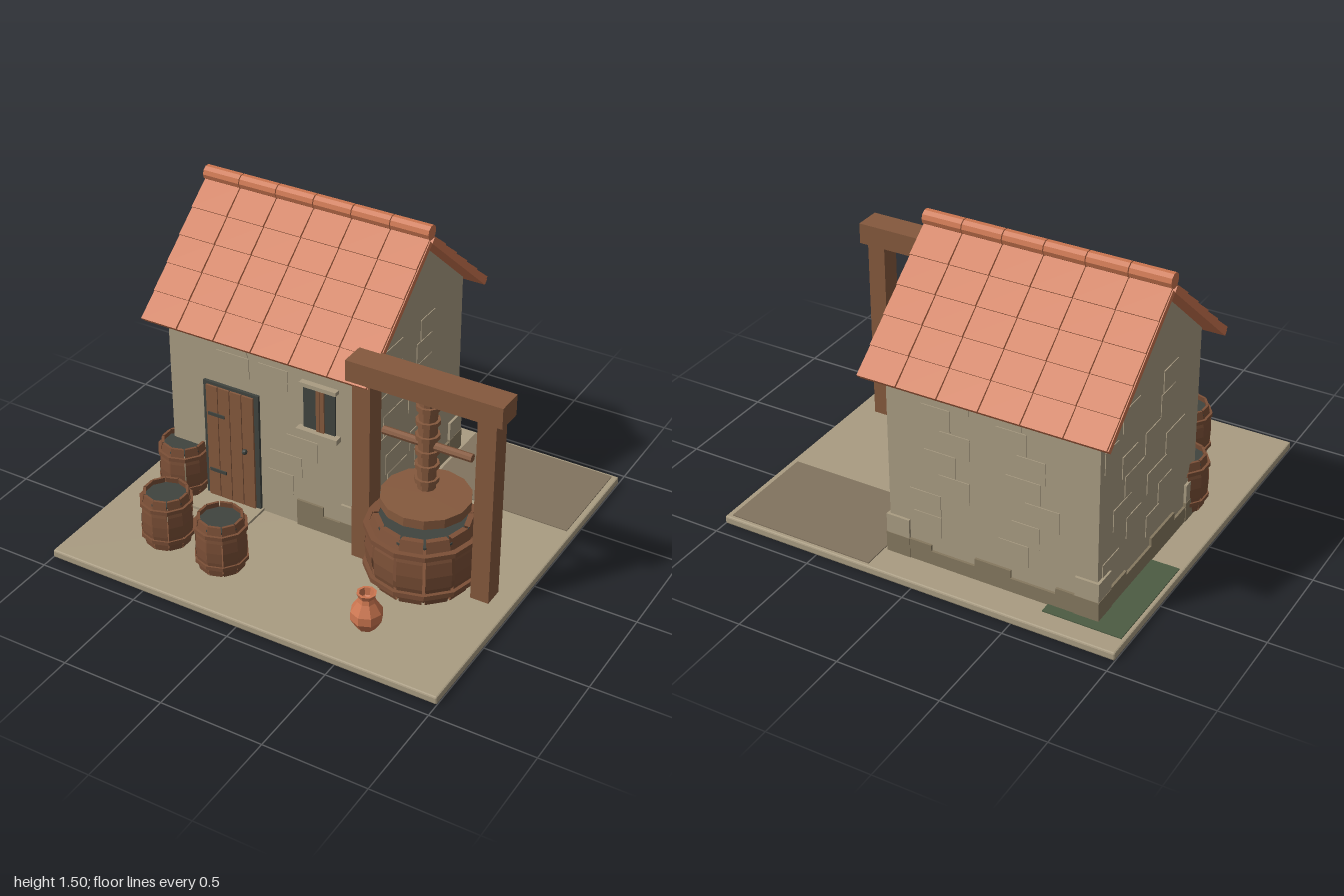
import * as THREE from 'three';
import { RoundedBoxGeometry } from 'three/addons/geometries/RoundedBoxGeometry.js';

const mat = (name, color, side = THREE.FrontSide) => {
  const m = new THREE.MeshStandardMaterial({ color, side });
  m.name = name;
  return m;
};

export function createModel() {
  const stone = mat('pale stone', 0xa99c82);
  const darkStone = mat('dark stone', 0x85785f);
  const earth = mat('bare earth', 0x82745f);
  const grass = mat('grass', 0x4d5c43);
  const tile = mat('terracotta', 0xcc7650, THREE.DoubleSide);
  const wood = mat('wood', 0x85593d, THREE.DoubleSide);
  const barrelWood = mat('barrel wood', 0x7c5037, THREE.DoubleSide);
  const dark = mat('dark iron', 0x40443f);

  const model = new THREE.Group();
  model.name = 'pressHouse';

  const group = (parent, name, x = 0, y = 0, z = 0, ry = 0) => {
    const g = new THREE.Group();
    g.name = name;
    g.position.set(x, y, z);
    g.rotation.y = ry;
    parent.add(g);
    return g;
  };
  // Faceted mesh
  const add = (parent, name, geo, material, x = 0, y = 0, z = 0) => {
    const g = geo.index ? geo.toNonIndexed() : geo;
    g.computeVertexNormals();
    const m = new THREE.Mesh(g, material);
    m.name = name;
    m.position.set(x, y, z);
    parent.add(m);
    return m;
  };
  // Box given by its limits on each axis
  const box = (parent, name, material, x0, x1, y0, y1, z0, z1) =>
    add(parent, name, new THREE.BoxGeometry(x1 - x0, y1 - y0, z1 - z0), material,
      (x0 + x1) / 2, (y0 + y1) / 2, (z0 + z1) / 2);
  const lathe = (pts, seg, start = 0, len = Math.PI * 2) =>
    new THREE.LatheGeometry(pts.map(p => new THREE.Vector2(p[0], p[1])), seg, start, len);

  let seed = 7;
  const rand = () => (seed = (seed * 16807) % 2147483647) / 2147483647;

  // Ground
  add(model, 'ground', new RoundedBoxGeometry(2, 0.04, 1.86, 1, 0.008), stone, 0, 0.02, 0);
  box(model, 'earthPatch', earth, 0.23, 0.97, 0.038, 0.045, -0.91, -0.4);
  box(model, 'grassPatch', grass, -0.98, -0.6, 0.038, 0.045, -0.83, -0.27);
  box(model, 'doorStep', stone, -0.66, -0.33, 0.035, 0.053, 0.17, 0.33);

  // House body with gables
  const zc = -0.295, G = 0.04;
  const outline = new THREE.Shape([[-0.47, G], [0.47, G], [0.47, 1], [0, 1.412], [-0.47, 1]]
    .map(p => new THREE.Vector2(p[0], p[1])));
  const body = add(model, 'walls',
    new THREE.ExtrudeGeometry(outline, { depth: 1.03, bevelEnabled: false }), stone, -0.83, 0, zc);
  body.rotation.y = Math.PI / 2;

  // Wall faces: raised stones and dark plinth stones [from, to, height]
  const walls = [
    ['frontWall', -0.315, 0.175, 0, 1.03, [[0.175, 0.315, 0.14], [0.315, 0.515, 0.09]]],
    ['rightWall', 0.2, zc, Math.PI / 2, 0.94, [[-0.145, 0.15, 0.09], [0.15, 0.47, 0.09]]],
    ['backWall', -0.315, -0.765, Math.PI, 1.03,
      [[-0.515, -0.3, 0.1], [-0.3, -0.08, 0.07], [-0.08, 0.1, 0.11], [0.1, 0.32, 0.07], [0.32, 0.515, 0.1]]],
    ['leftWall', -0.83, zc, -Math.PI / 2, 0.94,
      [[-0.47, -0.22, 0.1], [-0.22, 0.02, 0.08], [0.02, 0.25, 0.12], [0.25, 0.47, 0.08]]],
  ];
  walls.forEach(([name, x, z, ry, w, plinth]) => {
    const g = group(model, name, x, G, z, ry);
    plinth.forEach(([a, b, h]) => box(g, 'plinthStone', darkStone, a, b, 0, h, -0.01, 0.012));
    for (let row = 0; row < 7; row++) {
      const y = 0.15 + row * 0.112;
      for (let i = 0; i < 2; i++) {
        const sx = -w / 2 + 0.02 + (i + rand() * 0.6) * (w / 2 - 0.08);
        const sw = 0.12 + rand() * 0.07;
        const front = name === 'frontWall';
        // keep clear of the door and window
        const wx = sx + x;
        if (front && ((wx + sw > -0.66 && wx < -0.32 && y < 0.7) ||
          (wx + sw > -0.13 && wx < 0.1 && y > 0.4))) continue;
        box(g, 'wallStone', stone, sx, sx + sw, y, y + 0.108, -0.01, 0.004);
      }
    }
  });
  // Corner stones
  for (const [cx, sx] of [[-0.83, 1], [0.2, -1]]) for (const [cz, sz] of [[-0.765, 1], [0.175, -1]]) {
    const q = group(model, 'cornerStones', cx + sx * 0.045, 0, cz + sz * 0.045);
    box(q, 'lowerCornerStone', darkStone, -0.06, 0.06, G, 0.14, -0.06, 0.06);
    box(q, 'upperCornerStone', stone, -0.058, 0.058, 0.14, 0.235, -0.058, 0.058);
  }

  // Roof: two slopes of slab and tiles
  const slope = Math.atan2(0.48, 0.555), len = 0.72, cols = 6, rows = 5;
  const x0 = -0.91, step = 1.19 / cols, run = len / rows;
  for (const [name, ry] of [['frontRoof', 0], ['backRoof', Math.PI]]) {
    const side = group(model, name, -0.315, 1.415, zc, ry);
    const pitch = group(side, 'roofSlope');
    pitch.rotation.x = slope;
    box(pitch, 'roofSlab', tile, -0.595, 0.595, 0, 0.028, 0, len);
    for (let c = 0; c < cols; c++) for (let r = 0; r < rows; r++) {
      const t = add(pitch, 'roofTile', new THREE.BoxGeometry(step - 0.008, 0.012, run + 0.008), tile,
        -0.595 + (c + 0.5) * step, 0.033, (r + 0.5) * run);
      t.rotation.x = -0.045;
    }
  }
  for (let c = 0; c < cols; c++) {
    const cap = add(model, 'ridgeTile', new THREE.CylinderGeometry(0.036, 0.036, step - 0.005, 10), tile,
      x0 + (c + 0.5) * step, 1.47, zc);
    cap.rotation.z = Math.PI / 2;
  }

  // Door
  const door = group(model, 'door');
  box(door, 'doorFrame', dark, -0.64, -0.34, G, 0.68, 0.16, 0.19);
  for (let i = 0; i < 4; i++)
    box(door, 'doorPlank', wood, -0.62 + i * 0.065, -0.559 + i * 0.065, 0.053, 0.665, 0.17, 0.2);
  for (const y of [0.2, 0.515]) box(door, 'hinge', dark, -0.61, -0.52, y - 0.008, y + 0.008, 0.198, 0.206);
  add(door, 'doorKnob', new THREE.SphereGeometry(0.014, 8, 6), dark, -0.41, 0.365, 0.208);

  // Window
  const win = group(model, 'window');
  box(win, 'windowPane', dark, -0.1, 0.065, 0.6, 0.825, 0.165, 0.185);
  for (const x of [-0.03, -0.008])
    box(win, 'windowBar', wood, x, x + 0.02, 0.6, 0.825, 0.18, 0.193);
  box(win, 'lintel', stone, -0.11, 0.08, 0.825, 0.845, 0.165, 0.205);
  box(win, 'sill', stone, -0.125, 0.09, 0.573, 0.6, 0.165, 0.215);

  // Barrel of separate staves, hoops and a sunken dark lid
  const barrel = (name, x, z, r, h, n, gap) => {
    const g = group(model, name, x, 0.05, z);
    const t = r * 0.1, a = Math.PI * 2 / n;
    const profile = [[r * 0.84, 0], [r * 0.95, h * 0.3], [r * 0.97, h * 0.5], [r * 0.95, h * 0.7], [r * 0.84, h],
      [r * 0.84 - t, h], [r * 0.95 - t, h * 0.7], [r * 0.95 - t, h * 0.3], [r * 0.84 - t, 0], [r * 0.84, 0]];
    for (let i = 0; i < n; i++)
      add(g, 'stave', lathe(profile, 1, i * a + gap / 2, a - gap), barrelWood);
    for (const y of [0.16, 0.78]) {
      const ri = r * 0.89, ro = r * 1.0;
      add(g, 'hoop', lathe([[ri, y * h], [ro, y * h], [ro, (y + 0.07) * h], [ri, (y + 0.07) * h], [ri, y * h]], n),
        barrelWood);
    }
    add(g, 'barrelFloor', new THREE.CylinderGeometry(r * 0.8, r * 0.78, 0.012, n), barrelWood, 0, 0.006, 0);
    add(g, 'barrelContents', new THREE.CylinderGeometry(r * 0.8, r * 0.8, 0.01, n), dark, 0, h * 0.88, 0);
  };
  barrel('frontBarrel', -0.59, 0.59, 0.127, 0.27, 10, 0.05);
  barrel('middleBarrel', -0.27, 0.625, 0.127, 0.27, 10, 0.05);
  barrel('cornerBarrel', -0.76, 0.2, 0.127, 0.27, 10, 0.05);
  barrel('pressVat', 0.55, 0.235, 0.268, 0.34, 12, 0.06);

  // Press frame
  const press = group(model, 'press');
  for (const x of [0.2, 0.81]) box(press, 'post', wood, x, x + 0.09, G, 0.985, 0.165, 0.265);
  box(press, 'crossBeam', wood, 0.17, 0.93, 0.98, 1.083, 0.143, 0.275);
  // Screw, threads, handle and plate
  add(press, 'screw', new THREE.CylinderGeometry(0.043, 0.043, 0.46, 10), wood, 0.55, 0.75, 0.215);
  for (let i = 0; i < 6; i++)
    add(press, 'screwThread', new THREE.CylinderGeometry(0.056, 0.056, 0.022, 10), wood,
      0.55, 0.565 + i * 0.075, 0.215);
  const handle = add(press, 'handle', new THREE.CylinderGeometry(0.02, 0.02, 0.44, 8), wood, 0.55, 0.745, 0.215);
  handle.rotation.z = Math.PI / 2;
  add(press, 'pressPlate', new THREE.CylinderGeometry(0.207, 0.207, 0.045, 14), wood, 0.55, 0.457, 0.215);

  // Clay jar
  add(model, 'jar', lathe([[0, 0], [0.045, 0], [0.075, 0.05], [0.073, 0.09], [0.042, 0.14], [0.036, 0.16],
    [0.046, 0.185], [0.034, 0.185], [0.028, 0.15], [0, 0.13]], 8), tile, 0.515, 0.045, 0.675);

  return model;
}
